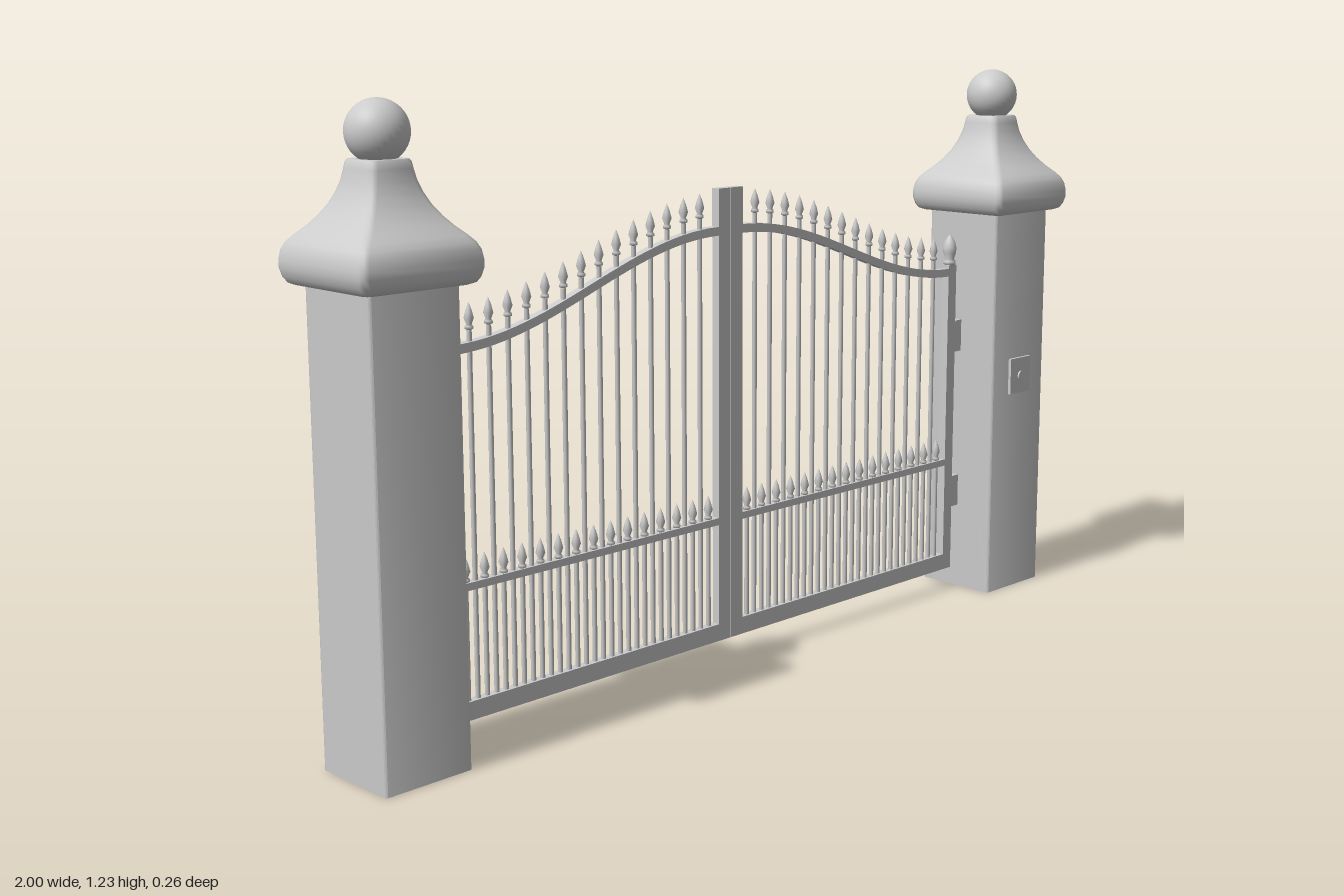
import * as THREE from 'three';
import { toCreasedNormals } from 'three/addons/utils/BufferGeometryUtils.js';

const grey = new THREE.MeshStandardMaterial({ color: 0xcccccc });
const GATE_Z = -0.008, DEPTH = 0.019;
const INNER = 0.035, OUTER = 0.72, CELLS = 15;

function add(parent, name, geometry, x = 0, y = 0, z = 0) {
  const mesh = new THREE.Mesh(geometry, grey);
  mesh.name = name;
  mesh.position.set(x, y, z);
  parent.add(mesh);
  return mesh;
}

const vectors = (pairs) => pairs.map(([x, y]) => new THREE.Vector2(x, y));

// Box given by its x and y limits
function addBox(parent, name, x0, x1, y0, y1, depth, z) {
  return add(parent, name, new THREE.BoxGeometry(Math.abs(x1 - x0), y1 - y0, depth), (x0 + x1) / 2, (y0 + y1) / 2, z);
}

// Lathe whose rings are turned into squares with slightly rounded corners
function squareLathe(pairs, corner) {
  const geometry = new THREE.LatheGeometry(vectors(pairs), 12);
  const pos = geometry.attributes.position;
  for (let i = 0; i < pos.count; i++) {
    const step = Math.floor(i / pairs.length);
    const half = pairs[i % pairs.length][0];
    const r = Math.min(corner, half);
    const quarter = Math.floor(step / 3) * Math.PI / 2;
    const arc = quarter + (step % 3) * Math.PI / 4;
    const sx = Math.sign(Math.sin(quarter + Math.PI / 4));
    const sz = Math.sign(Math.cos(quarter + Math.PI / 4));
    pos.setX(i, sx * (half - r) + r * Math.sin(arc));
    pos.setZ(i, sz * (half - r) + r * Math.cos(arc));
  }
  return toCreasedNormals(geometry, 0.85);
}

// Height of the swept top rail at distance x from the middle
function railHeight(x) {
  const t = (OUTER - x) / (OUTER - INNER);
  return 0.763 + 0.16 * (1 - Math.cos(Math.PI * t)) / 2;
}

function topRailGeometry(side) {
  const upper = [], lower = [], steps = 28;
  for (let i = 0; i <= steps; i++) {
    const x = INNER + (OUTER - INNER) * i / steps;
    upper.push([side * x, railHeight(x) + 0.009]);
    lower.unshift([side * x, railHeight(x) - 0.009]);
  }
  const shape = new THREE.Shape(vectors([...upper, ...lower]));
  const geometry = new THREE.ExtrudeGeometry(shape, { depth: DEPTH, bevelEnabled: false });
  return toCreasedNormals(geometry.translate(0, 0, -DEPTH / 2), 0.6);
}

const spearGeometry = new THREE.LatheGeometry(vectors([
  [0.004, 0], [0.008, 0.002], [0.008, 0.007], [0.005, 0.01],
  [0.0095, 0.022], [0.006, 0.036], [0, 0.052],
]), 8);

const finialGeometry = new THREE.LatheGeometry(vectors([
  [0.009, 0], [0.014, 0.004], [0.014, 0.01], [0.01, 0.015], [0.015, 0.03],
  [0.0155, 0.042], [0.012, 0.056], [0.005, 0.067], [0, 0.072],
]), 16);

// Round bar with a spearhead on top
function addPicket(parent, name, x, y0, y1) {
  const picket = new THREE.Group();
  picket.name = name;
  picket.position.set(x, 0, GATE_Z);
  add(picket, 'bar', new THREE.CylinderGeometry(0.005, 0.005, y1 - y0, 8, 1, true), 0, (y0 + y1) / 2, 0);
  add(picket, 'spearhead', spearGeometry, 0, y1, 0);
  parent.add(picket);
}

function createLeaf(side) {
  const leaf = new THREE.Group();
  leaf.name = side > 0 ? 'leftGateLeaf' : 'rightGateLeaf';

  // Frame
  addBox(leaf, 'meetingStile', side * 0.0005, side * INNER, 0.05, 1.01, DEPTH, GATE_Z);
  addBox(leaf, 'hingeStile', side * OUTER, side * 0.748, 0.05, 0.78, DEPTH, GATE_Z);
  addBox(leaf, 'bottomRail', side * INNER, side * OUTER, 0.05, 0.087, DEPTH, GATE_Z);
  addBox(leaf, 'middleRail', side * INNER, side * OUTER, 0.304, 0.319, DEPTH, GATE_Z);
  add(leaf, 'topRail', topRailGeometry(side), 0, 0, GATE_Z);
  add(leaf, 'stileFinial', finialGeometry, side * 0.734, 0.778, GATE_Z);

  // Hinges with chamfered ends towards the stile
  for (const y of [0.236, 0.61]) {
    const shape = new THREE.Shape(vectors([
      [side * 0.778, y - 0.037], [side * 0.778, y + 0.037], [side * 0.752, y + 0.037],
      [side * 0.745, y + 0.03], [side * 0.745, y - 0.03], [side * 0.752, y - 0.037],
    ]));
    const geometry = new THREE.ExtrudeGeometry(shape, { depth: 0.016, bevelEnabled: false });
    add(leaf, 'hinge', geometry, 0, 0, GATE_Z - 0.008);
  }

  // Tall pickets on the grid lines, short ones in between
  const pitch = (OUTER - INNER) / CELLS;
  for (let i = 0; i < CELLS; i++) {
    const x = INNER + pitch * i;
    if (i > 0) addPicket(leaf, 'tallPicket', side * x, 0.08, railHeight(x) + 0.03);
    addPicket(leaf, 'shortPicket', side * (x + pitch / 2), 0.08, 0.318);
  }
  return leaf;
}

function createPillar(side) {
  const pillar = new THREE.Group();
  pillar.name = side > 0 ? 'leftPillar' : 'rightPillar';
  pillar.position.x = side * 0.869;
  add(pillar, 'post', squareLathe([[0, 0], [0.096, 0], [0.096, 0.905]], 0.004));

  // Flared cap with a rounded rim and concave neck
  add(pillar, 'cap', squareLathe([
    [0, 0.9], [0.112, 0.9], [0.121, 0.904], [0.127, 0.914], [0.131, 0.93], [0.131, 0.944],
    [0.128, 0.962], [0.122, 0.975], [0.112, 0.987], [0.096, 1.003], [0.081, 1.021],
    [0.068, 1.041], [0.058, 1.062], [0.051, 1.083], [0.047, 1.103], [0.045, 1.115], [0.042, 1.12], [0, 1.12],
  ], 0.013));
  add(pillar, 'ball', new THREE.SphereGeometry(0.058, 32, 20), 0, 1.167, 0);
  return pillar;
}

export function createModel() {
  const model = new THREE.Group();
  model.name = 'gate';
  for (const side of [-1, 1]) model.add(createPillar(side), createLeaf(side));

  // Control plate and button on one pillar
  addBox(model, 'controlPlate', 0.833, 0.908, 0.473, 0.557, 0.012, 0.097);
  const button = add(model, 'button', new THREE.CylinderGeometry(0.011, 0.011, 0.005, 20), 0.871, 0.514, 0.1045);
  button.rotation.x = Math.PI / 2;
  return model;
}
